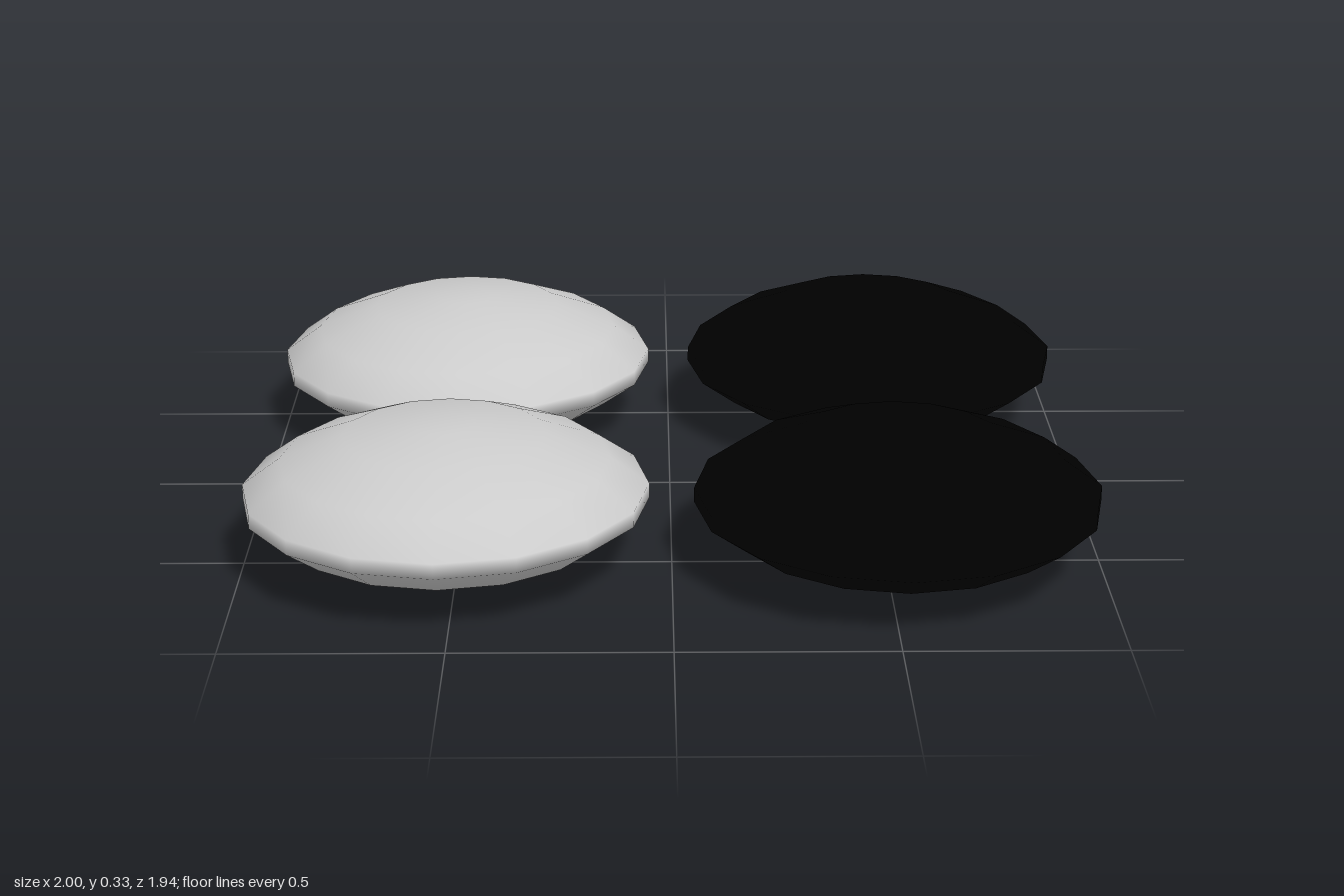
import * as THREE from 'three';

// Half profile of a lens-shaped stone: radius, height above its middle
const upper = [[0.474, 0.018], [0.385, 0.083], [0.236, 0.143], [0.07, 0.167], [0, 0.167]];

export function createModel() {
  const model = new THREE.Group();

  // Profile runs from the bottom pole round the rim to the top pole
  const profile = [
    ...upper.slice().reverse().map(([r, y]) => new THREE.Vector2(r, 0.167 - y)),
    ...upper.map(([r, y]) => new THREE.Vector2(r, 0.167 + y)),
  ];
  const stoneShape = new THREE.LatheGeometry(profile, 16);

  const pale = new THREE.MeshStandardMaterial({ color: 0xcccccc });
  const dark = new THREE.MeshStandardMaterial({ color: 0x000000 });

  // Two pale stones on one side, two dark stones on the other
  const stones = [
    ['paleStoneFront', pale, -0.526, 0.467],
    ['paleStoneBack', pale, -0.526, -0.486],
    ['darkStoneFront', dark, 0.526, 0.495],
    ['darkStoneBack', dark, 0.526, -0.495],
  ];
  for (const [name, material, x, z] of stones) {
    const stone = new THREE.Mesh(stoneShape, material);
    stone.name = name;
    stone.position.set(x, 0, z);
    model.add(stone);
  }
  return model;
}
